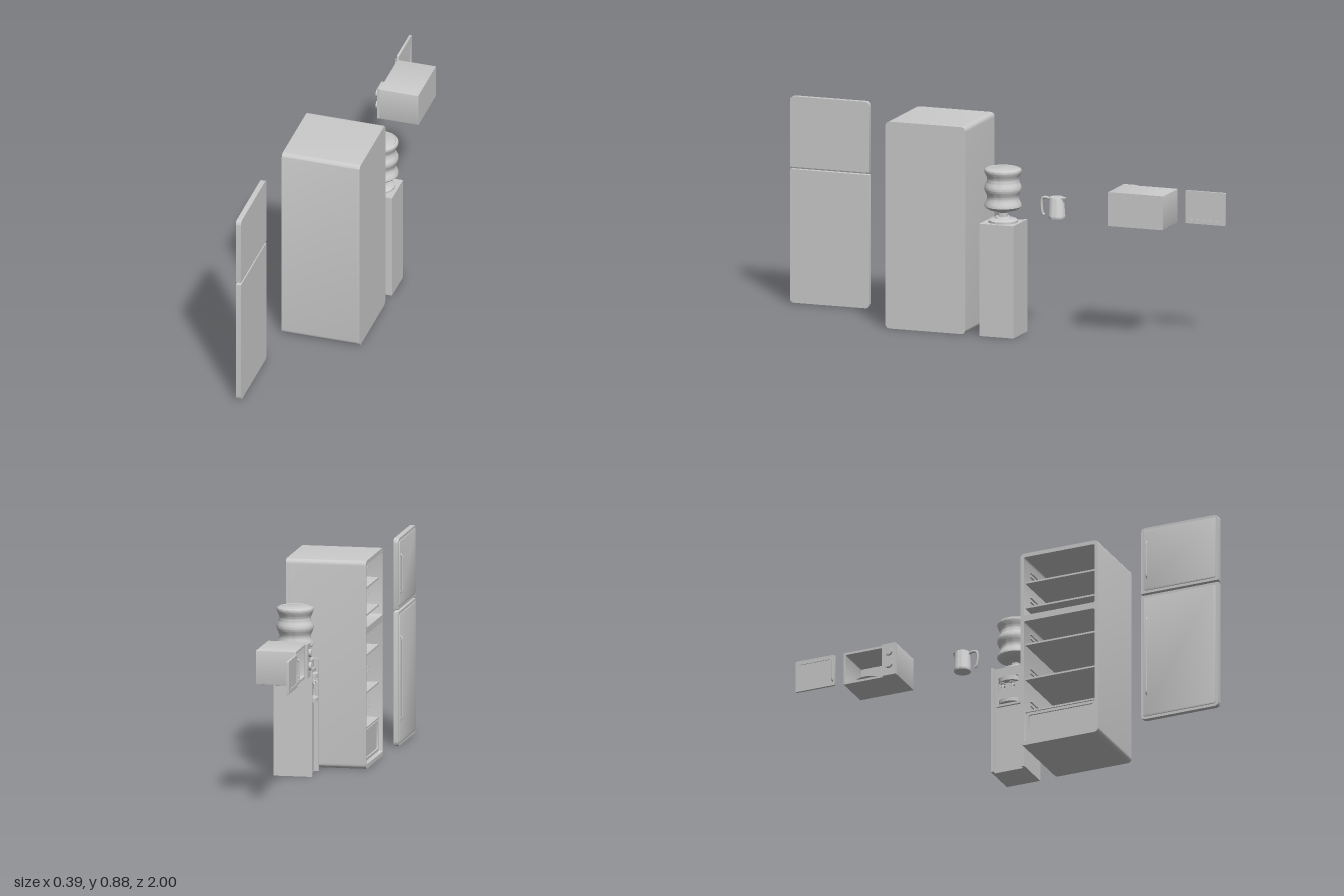
import * as THREE from 'three';
import { toCreasedNormals } from 'three/addons/utils/BufferGeometryUtils.js';

const mat = new THREE.MeshStandardMaterial({ color: 0xcccccc });
const matDouble = new THREE.MeshStandardMaterial({ color: 0xcccccc, side: THREE.DoubleSide });

function add(parent, name, geo, material = mat) {
  const m = new THREE.Mesh(geo, material);
  m.name = name;
  parent.add(m);
  return m;
}

function group(parent, name) {
  const g = new THREE.Group();
  g.name = name;
  parent.add(g);
  return g;
}

// Box given by its limits on each axis
function box(parent, name, [x0, x1], [y0, y1], [z0, z1]) {
  const m = add(parent, name, new THREE.BoxGeometry(x1 - x0, y1 - y0, z1 - z0));
  m.position.set((x0 + x1) / 2, (y0 + y1) / 2, (z0 + z1) / 2);
  return m;
}

// Rounded rectangle in the z-y plane
function rect([z0, z1], [y0, y1], r, Type = THREE.Shape) {
  const s = new Type();
  s.moveTo(z0 + r, y0).lineTo(z1 - r, y0).quadraticCurveTo(z1, y0, z1, y0 + r);
  s.lineTo(z1, y1 - r).quadraticCurveTo(z1, y1, z1 - r, y1);
  s.lineTo(z0 + r, y1).quadraticCurveTo(z0, y1, z0, y1 - r);
  s.lineTo(z0, y0 + r).quadraticCurveTo(z0, y0, z0 + r, y0);
  return s;
}

// Extrude a z-y shape from x0 to x1, with optional holes and bevel
function slab(parent, name, [x0, x1], shape, holes = [], bevel = 0) {
  shape.holes = holes;
  let g = new THREE.ExtrudeGeometry(shape, {
    depth: x1 - x0 - 2 * bevel, curveSegments: 6, bevelEnabled: bevel > 0,
    bevelSize: bevel, bevelThickness: bevel, bevelOffset: -bevel, bevelSegments: 2,
  });
  g.translate(0, 0, bevel).rotateY(-Math.PI / 2).translate(x1, 0, 0);
  return add(parent, name, toCreasedNormals(g, 0.6));
}

function lathe(parent, name, points, [x, y, z], segments = 40) {
  const g = new THREE.LatheGeometry(points.map(p => new THREE.Vector2(...p)), segments);
  const m = add(parent, name, toCreasedNormals(g, 0.7), matDouble);
  m.position.set(x, y, z);
  return m;
}

function tube(parent, name, points, r, tension = 0.2) {
  const c = new THREE.CatmullRomCurve3(points.map(p => new THREE.Vector3(...p)), false, 'catmullrom', tension);
  return add(parent, name, new THREE.TubeGeometry(c, 32, r, 8));
}

// Cylinder lying along x
function disc(parent, name, [x0, x1], y, z, r) {
  const m = add(parent, name, new THREE.CylinderGeometry(r, r, x1 - x0, 24).rotateZ(Math.PI / 2));
  m.position.set((x0 + x1) / 2, y, z);
  return m;
}

function buildFridge(root) {
  const f = group(root, 'fridge');
  const inner = [0.097, 0.421];
  slab(f, 'cabinetShell', [-0.16, 0.17], rect([0.08, 0.438], [0, 0.885], 0.022), [
    rect(inner, [0.018, 0.572], 0.008, THREE.Path),
    rect(inner, [0.6, 0.868], 0.008, THREE.Path),
  ]);
  slab(f, 'cabinetBack', [0.17, 0.182], rect([0.08, 0.438], [0, 0.885], 0.022));
  // Shelves with a pair of runners on both walls above each
  for (const y of [0.165, 0.315, 0.475, 0.645, 0.76]) {
    box(f, 'shelf', [-0.145, 0.17], [y - 0.008, y], inner);
    for (const dy of [0.04, 0.06])
      for (const z of [inner[0], inner[1] - 0.007])
        box(f, 'shelfRunner', [-0.1, 0.15], [y + dy, y + dy + 0.005], [z, z + 0.007]);
  }
  // Drawer front with a recessed face
  slab(f, 'drawerFrame', [-0.145, -0.135], rect([0.1, 0.418], [0.022, 0.154], 0.008),
    [rect([0.112, 0.406], [0.034, 0.142], 0.006, THREE.Path)]);
  box(f, 'drawerFace', [-0.138, -0.128], [0.025, 0.15], [0.102, 0.416]);
}

function buildFridgeDoors(root) {
  const doors = [['lowerDoor', 0.002, 0.573, 0.11, 0.47], ['upperDoor', 0.583, 0.885, 0.65, 0.82]];
  for (const [name, y0, y1, h0, h1] of doors) {
    const d = group(root, name);
    // Only the outer corners of the pair are rounded
    const low = name === 'lowerDoor' ? 0.02 : 0.002, high = name === 'upperDoor' ? 0.02 : 0.002;
    const s = new THREE.Shape();
    s.moveTo(0.645 + low, y0).lineTo(1 - low, y0).quadraticCurveTo(1, y0, 1, y0 + low);
    s.lineTo(1, y1 - high).quadraticCurveTo(1, y1, 1 - high, y1);
    s.lineTo(0.645 + high, y1).quadraticCurveTo(0.645, y1, 0.645, y1 - high);
    s.lineTo(0.645, y0 + low).quadraticCurveTo(0.645, y0, 0.645 + low, y0);
    slab(d, 'doorPanel', [-0.183, -0.161], s);
    slab(d, 'doorFace', [-0.186, -0.181], rect([0.657, 0.988], [y0 + 0.012, y1 - 0.012], 0.01), [], 0.002);
    const x = -0.192, z = 0.673;
    tube(d, 'doorHandle', [[-0.182, h0, z], [x, h0 + 0.012, z], [x, h0 + 0.03, z],
      [x, h1 - 0.03, z], [x, h1 - 0.012, z], [-0.182, h1, z]], 0.004);
  }
}

function buildDispenser(root) {
  const w = group(root, 'waterDispenser');
  const cx = 0.113, cz = -0.063;
  box(w, 'cabinet', [0.045, 0.19], [0, 0.48], [-0.139, 0.014]);
  for (const z of [-0.139, 0.002]) box(w, 'sideFlange', [0.026, 0.046], [0, 0.48], [z, z + 0.012]);
  // Tap bay: frame, curved hood and drip tray
  slab(w, 'tapBayFrame', [0.036, 0.046], rect([-0.122, -0.004], [0.3, 0.445], 0.01),
    [rect([-0.11, -0.016], [0.312, 0.433], 0.008, THREE.Path)]);
  for (const [name, y, h] of [['tapHood', 0.418, 0.02], ['dripTray', 0.318, 0.016]]) {
    const m = add(w, name, new THREE.CylinderGeometry(0.045, 0.045, h, 24, 1, false, Math.PI, Math.PI));
    m.scale.x = 0.66;
    m.position.set(0.046, y, cz);
  }
  for (const dz of [-0.022, 0.022]) {
    tube(w, 'tap', [[0.05, 0.392, cz + dz], [0.032, 0.392, cz + dz], [0.026, 0.385, cz + dz], [0.026, 0.365, cz + dz]], 0.006);
    box(w, 'tapLever', [0.018, 0.036], [0.396, 0.401], [cz + dz - 0.008, cz + dz + 0.008]);
  }
  // Collar and ribbed bottle
  lathe(w, 'collar', [[0, 0], [0.062, 0], [0.062, 0.008], [0.056, 0.013], [0.035, 0.016], [0.03, 0.024], [0, 0.024]], [cx, 0.48, cz]);
  const p = [[0, 0], [0.02, 0], [0.02, 0.018], [0.035, 0.025], [0.06, 0.031], [0.072, 0.038]];
  for (let i = 0; i <= 32; i++) {
    const t = i / 32;
    p.push([0.0725 + 0.006 * Math.cos(t * 4 * Math.PI), 0.045 + t * 0.153]);
  }
  p.push([0.075, 0.204], [0.068, 0.207], [0.066, 0.205], [0, 0.205]);
  lathe(w, 'bottle', p, [cx, 0.503, cz], 48);
}

function buildKettle(root) {
  const k = group(root, 'kettle');
  k.position.set(0.05, 0.5, -0.28);
  lathe(k, 'kettleBody', [[0, 0], [0.035, 0], [0.036, 0.004], [0.036, 0.012], [0.034, 0.015], [0.032, 0.085],
    [0.029, 0.09], [0.012, 0.091], [0, 0.091]], [0, 0, 0], 32);
  // Pouring lip, a tapered half cone
  const lip = add(k, 'spout', new THREE.ConeGeometry(0.018, 0.04, 16).rotateX(Math.PI));
  lip.position.set(0, 0.068, -0.024);
  tube(k, 'handle', [[0, 0.08, 0.028], [0, 0.085, 0.05], [0, 0.078, 0.066], [0, 0.05, 0.069],
    [0, 0.018, 0.064], [0, 0.01, 0.056]], 0.006, 0.5);
}

function buildMicrowave(root) {
  const m = group(root, 'microwave');
  const z = [-0.787, -0.541], y = [0.5, 0.645];
  slab(m, 'ovenShell', [-0.04, 0.12], rect(z, y, 0.002), [rect([-0.777, -0.607], [0.51, 0.635], 0.004, THREE.Path)]);
  slab(m, 'ovenBack', [0.12, 0.13], rect(z, y, 0.002));
  box(m, 'controlPanel', [-0.052, -0.04], y, [-0.603, -0.541]);
  for (const ky of [0.548, 0.605]) {
    disc(m, 'knob', [-0.063, -0.052], ky, -0.572, 0.017);
    box(m, 'knobGrip', [-0.066, -0.06], [ky - 0.014, ky + 0.014], [-0.575, -0.569]);
  }
  for (let i = 0; i < 4; i++) {
    const vy = 0.585 + i * 0.011;
    box(m, 'wallRib', [-0.01, 0.09], [vy, vy + 0.004], [-0.611, -0.607]);
  }
  lathe(m, 'turntable', [[0, 0], [0.012, 0], [0.012, 0.006], [0.064, 0.008], [0.07, 0.013], [0.066, 0.013],
    [0.062, 0.011], [0, 0.01]], [0.037, 0.51, -0.692]);

  // Detached door: frame, window pane and handle
  const d = group(root, 'microwaveDoor');
  slab(d, 'doorFrame', [-0.054, -0.044], rect([-1, -0.822], [0.5, 0.64], 0.003),
    [rect([-0.983, -0.843], [0.518, 0.622], 0.006, THREE.Path)]);
  box(d, 'doorWindow', [-0.051, -0.047], [0.515, 0.625], [-0.986, -0.84]);
  tube(d, 'doorHandle', [[-0.052, 0.52, -0.83], [-0.062, 0.527, -0.83], [-0.062, 0.613, -0.83], [-0.052, 0.62, -0.83]], 0.0035);
}

export function createModel() {
  const root = new THREE.Group();
  root.name = 'kitchenAppliances';
  buildFridge(root);
  buildFridgeDoors(root);
  buildDispenser(root);
  buildKettle(root);
  buildMicrowave(root);
  return root;
}
